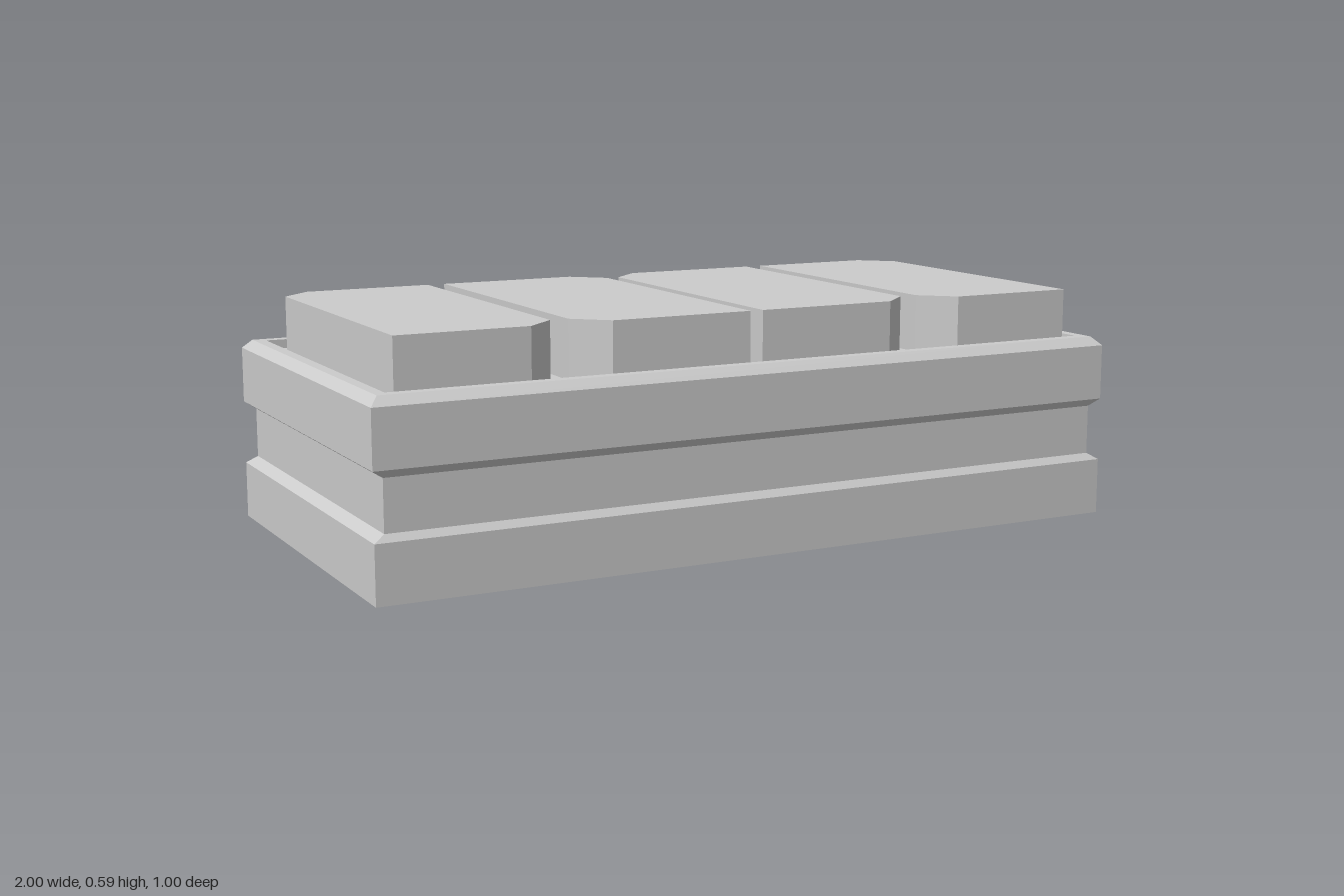
import * as THREE from 'three';

const material = new THREE.MeshStandardMaterial({ color: 0xcccccc, flatShading: true });

// Closed rectangular loft: each ring is [half width, height, half depth], from bottom to top and into the tray
function rectLoft(rings) {
  const positions = [];
  const indices = [];
  for (const [w, y, d] of rings) {
    positions.push(-w, y, d, w, y, d, w, y, -d, -w, y, -d);
  }
  for (let r = 0; r < rings.length - 1; r++) {
    for (let i = 0; i < 4; i++) {
      const a = r * 4 + i;
      const b = r * 4 + (i + 1) % 4;
      indices.push(a, b, b + 4, a, b + 4, a + 4);
    }
  }
  const last = (rings.length - 1) * 4;
  indices.push(0, 2, 1, 0, 3, 2);
  indices.push(last, last + 1, last + 2, last, last + 2, last + 3);
  const geometry = new THREE.BufferGeometry();
  geometry.setAttribute('position', new THREE.Float32BufferAttribute(positions, 3));
  geometry.setIndex(indices);
  const flat = geometry.toNonIndexed();
  flat.computeVertexNormals();
  return flat;
}

// Slab with two diagonally opposite corners cut off; flip mirrors the cut corners
function slabGeometry(width, depth, height, cutX, cutZ, flip) {
  const w = width / 2;
  const d = depth / 2;
  let points = [
    [-w, -d], [w - cutX, -d], [w, -d + cutZ],
    [w, d], [-w + cutX, d], [-w, d - cutZ],
  ];
  if (flip) points = points.map(([x, y]) => [-x, y]).reverse();
  const shape = new THREE.Shape(points.map(([x, y]) => new THREE.Vector2(x, y)));
  const geometry = new THREE.ExtrudeGeometry(shape, { depth: height, bevelEnabled: false });
  geometry.rotateX(-Math.PI / 2);
  return geometry;
}

export function createModel() {
  const group = new THREE.Group();
  group.name = 'slabToppedPlinth';
  const floorY = 0.445;

  // Plinth with a recessed waist, bevelled rim and shallow tray on top
  const plinth = new THREE.Mesh(rectLoft([
    [1, 0, 0.5],
    [1, 0.143, 0.5],
    [0.972, 0.16, 0.486],
    [0.972, 0.286, 0.486],
    [1, 0.305, 0.5],
    [1, 0.446, 0.5],
    [0.978, 0.468, 0.478],
    [0.95, 0.468, 0.448],
    [0.95, floorY, 0.448],
  ]), material);
  plinth.name = 'plinth';
  group.add(plinth);

  // Four slabs standing in the tray, cut corners alternating
  const spans = [[-0.923, -0.511], [-0.465, -0.018], [0.016, 0.462], [0.508, 0.922]];
  spans.forEach(([x0, x1], i) => {
    const geometry = slabGeometry(x1 - x0, 0.864, 0.59 - floorY, 0.08, 0.074, i % 2 === 1);
    const slab = new THREE.Mesh(geometry, material);
    slab.name = `topSlab${i + 1}`;
    slab.position.set((x0 + x1) / 2, floorY, 0);
    group.add(slab);
  });

  return group;
}
